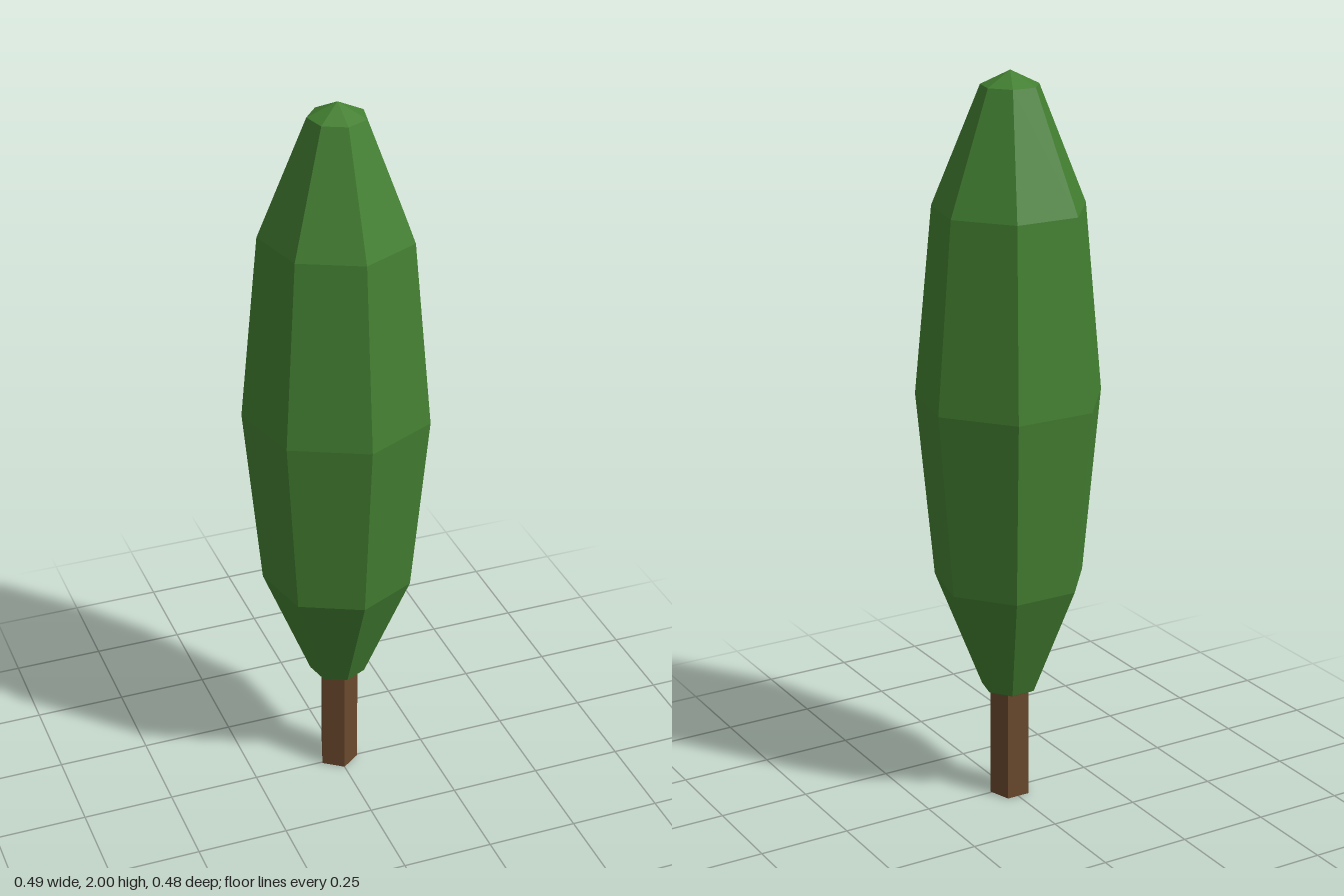
import * as THREE from 'three';

// Faceted normals: split shared corners so each face is flat
function faceted(geometry) {
  const flat = geometry.toNonIndexed();
  flat.computeVertexNormals();
  return flat;
}

export function createModel() {
  const leafGreen = new THREE.MeshStandardMaterial({ color: 0x437f31 });
  const barkBrown = new THREE.MeshStandardMaterial({ color: 0x6a492d });

  const tree = new THREE.Group();
  tree.name = 'cypressTree';

  // Tall seven-sided crown, mirrored above and below its widest ring
  const middle = 1.14;
  const upper = [[0.253, 0], [0.205, 0.507], [0.077, 0.822], [0, 0.86]];
  const lower = upper.slice(1).reverse().map(([r, h]) => [r, -h]);
  const profile = [...lower, ...upper].map(([r, h]) => new THREE.Vector2(r, middle + h));
  const crown = new THREE.Mesh(faceted(new THREE.LatheGeometry(profile, 7)), leafGreen);
  crown.name = 'crown';

  // Five-sided trunk, its top tucked into the crown
  const trunkHeight = 0.32;
  const trunk = new THREE.Mesh(
    faceted(new THREE.CylinderGeometry(0.055, 0.055, trunkHeight, 5)),
    barkBrown
  );
  trunk.name = 'trunk';
  trunk.position.y = trunkHeight / 2;

  tree.add(crown, trunk);
  // Centre the odd-sided outline front to back
  tree.children.forEach((part) => { part.position.z = -0.0125; });
  return tree;
}
